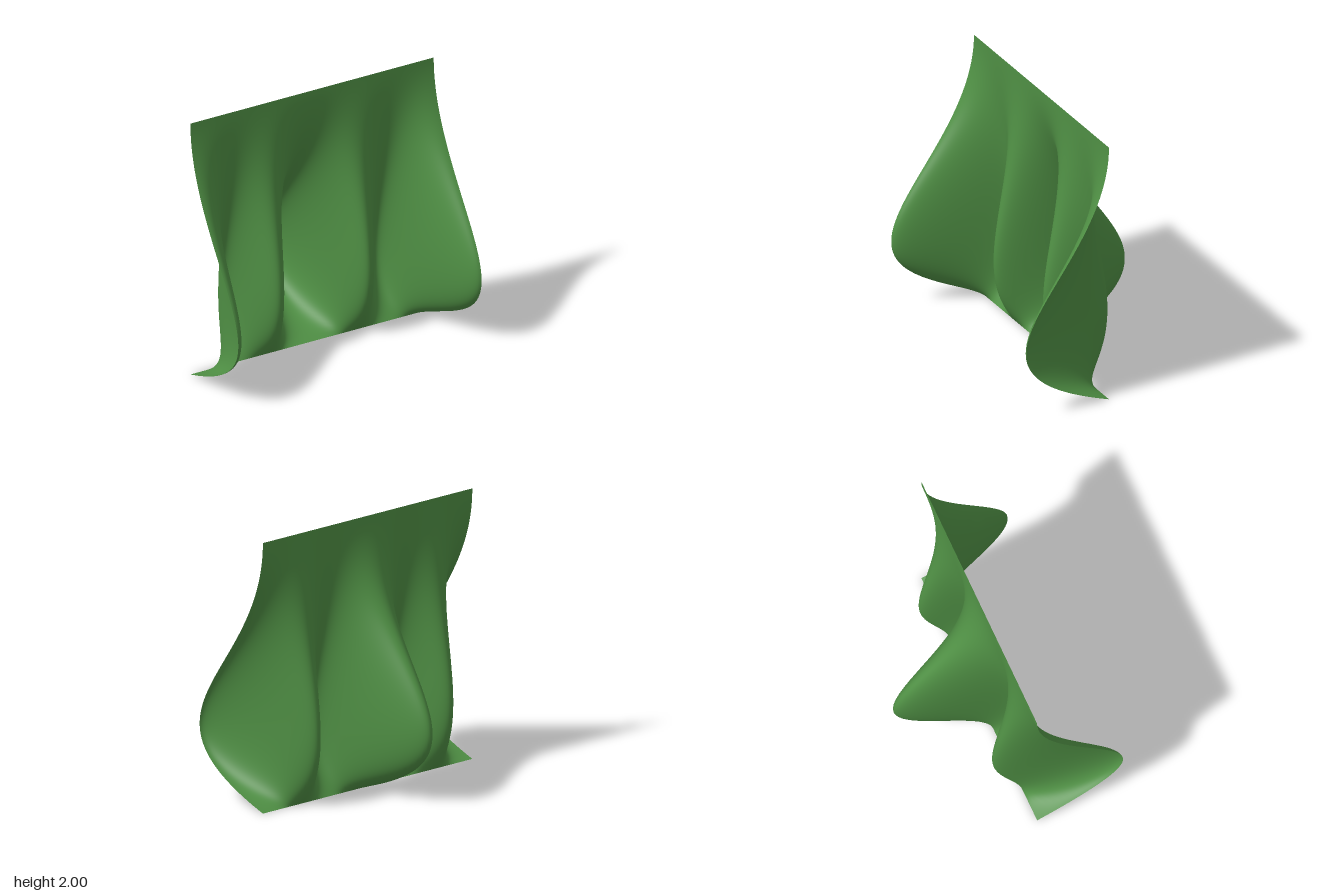
import * as THREE from 'three';

// Side profile of the deepest fold: depth (x) against height (y)
const profile = new THREE.CubicBezierCurve(
  new THREE.Vector2(0, 0),
  new THREE.Vector2(1.5, 0.5),
  new THREE.Vector2(0, 1),
  new THREE.Vector2(0, 2)
);

// Fold strength across the width: deep in the middle and at the edges
const wave = (x) => -Math.cos(2 * Math.PI * x) * Math.cos(Math.PI * x);

export function createModel() {
  const group = new THREE.Group();
  group.name = 'drapedCloth';

  // Flat sheet bent into folds that vanish along the top and bottom edges
  const geometry = new THREE.PlaneGeometry(2, 1, 160, 80);
  const pos = geometry.attributes.position;
  const p = new THREE.Vector2();
  for (let i = 0; i < pos.count; i++) {
    const x = pos.getX(i);
    profile.getPoint(pos.getY(i) + 0.5, p);
    pos.setXYZ(i, x, p.y, p.x * wave(x));
  }
  geometry.computeVertexNormals();

  const cloth = new THREE.Mesh(
    geometry,
    new THREE.MeshStandardMaterial({ color: 0x4f8f44, side: THREE.DoubleSide })
  );
  cloth.name = 'cloth';
  group.add(cloth);
  return group;
}
